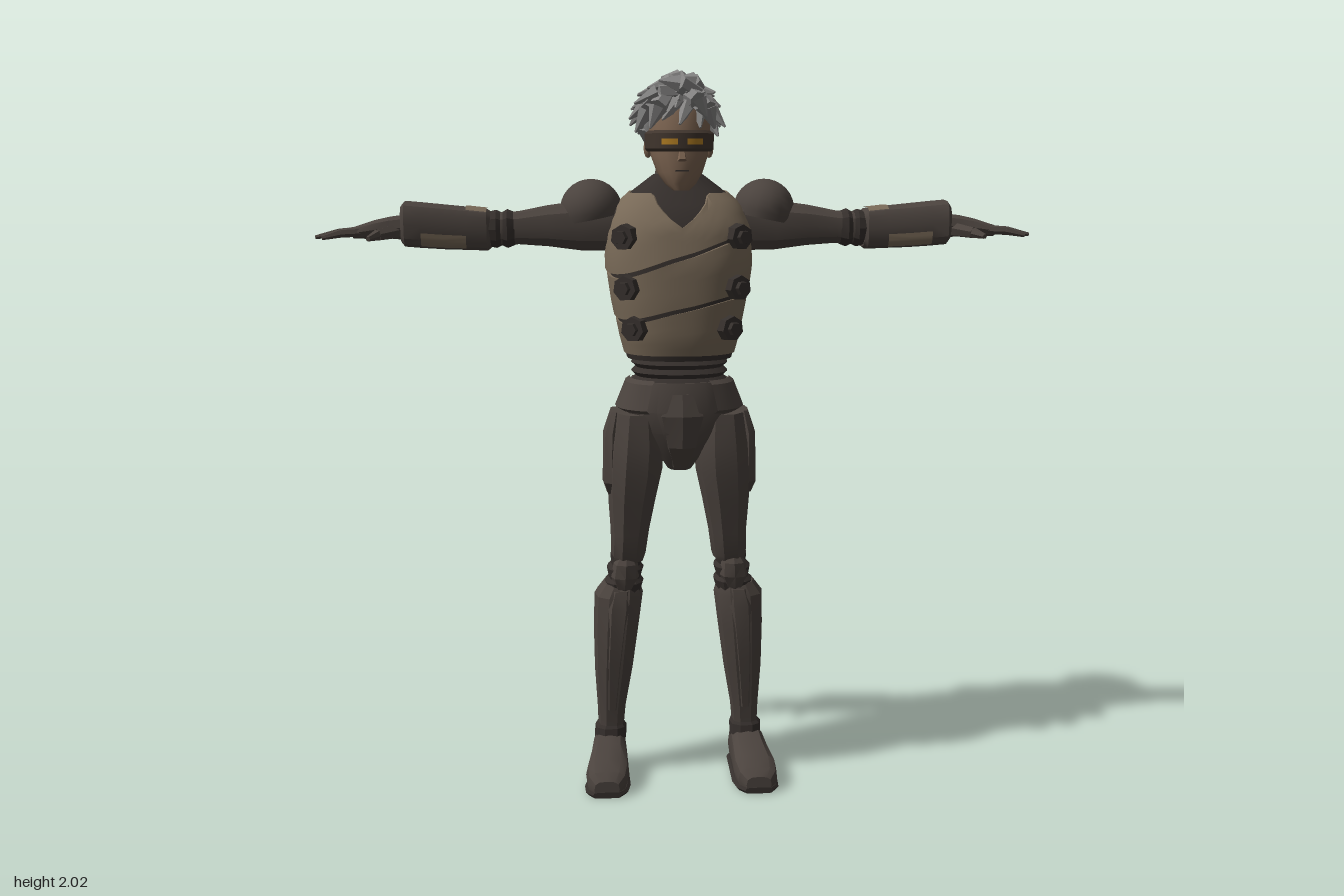
import * as THREE from 'three';
import { mergeGeometries, toCreasedNormals } from 'three/addons/utils/BufferGeometryUtils.js';

const paint = (name, color, side = THREE.FrontSide) => {
  const m = new THREE.MeshStandardMaterial({ color, side });
  m.name = name;
  return m;
};
const V = (x, y, z) => new THREE.Vector3(x, y, z);

// Surface through a grid of points fn(row, column), skipping collapsed triangles
function grid(rows, cols, fn) {
  const pos = [];
  const tri = (a, b, c) => {
    const area = b.clone().sub(a).cross(c.clone().sub(a)).length();
    if (area > 1e-9) pos.push(...a, ...b, ...c);
  };
  for (let r = 0; r < rows; r++) for (let c = 0; c < cols; c++) {
    const a = fn(r, c), b = fn(r + 1, c), d = fn(r, c + 1), e = fn(r + 1, c + 1);
    tri(a, b, d);
    tri(b, e, d);
  }
  const g = new THREE.BufferGeometry();
  g.setAttribute('position', new THREE.Float32BufferAttribute(pos, 3));
  return g;
}

// Rings along an axis: [t, centre1, centre2, radius1, radius2]; an arc leaves it open
function loft(axis, rings, n = 12, p = 0.8, arc = null) {
  const first = rings[0], last = rings[rings.length - 1];
  const all = arc ? rings : [[...first.slice(0, 3), 0, 0], ...rings, [...last.slice(0, 3), 0, 0]];
  const [a0, a1] = arc || [0, Math.PI * 2];
  const pw = (v) => Math.sign(v) * Math.abs(v) ** p;
  return grid(all.length - 1, n, (r, i) => {
    const [t, a, b, ra, rb] = all[r], th = a0 + (a1 - a0) * (!arc && i === n ? 0 : i / n);
    const c = pw(Math.cos(th)), s = pw(Math.sin(th));
    if (axis === 'y') return V(a + ra * c, t, b + rb * s);
    if (axis === 'x') return V(t, a + ra * s, b + rb * c);
    return V(a + ra * s, Math.max(0, b + rb * c), t);
  });
}

function taper(a, b, r0, r1, n = 6, flat = 1) {
  const d = b.clone().sub(a), h = d.length();
  return new THREE.CylinderGeometry(r1, r0, h, n).translate(0, h / 2, 0).scale(1, 1, flat)
    .applyQuaternion(new THREE.Quaternion().setFromUnitVectors(V(0, 1, 0), d.normalize()))
    .translate(a.x, a.y, a.z);
}

function clean(g) {
  g = g.index ? g.toNonIndexed() : g;
  g.deleteAttribute('uv');
  g.deleteAttribute('normal');
  return g;
}
const join = (list) => mergeGeometries(list.map(clean));

function mirror(g) {
  const m = clean(g.clone()).scale(-1, 1, 1), a = m.attributes.position;
  for (let i = 0; i < a.count; i += 3) {
    const p = V().fromBufferAttribute(a, i + 1), q = V().fromBufferAttribute(a, i + 2);
    a.setXYZ(i + 1, q.x, q.y, q.z);
    a.setXYZ(i + 2, p.x, p.y, p.z);
  }
  return m;
}

// Trunk outline: y, centre z, half width, half depth
const TRUNK = [[1.24, 0.005, 0.15, 0.122], [1.3, 0.005, 0.166, 0.137], [1.4, 0.002, 0.186, 0.147],
  [1.5, -0.005, 0.2, 0.155], [1.6, -0.018, 0.194, 0.15], [1.66, -0.03, 0.168, 0.125],
  [1.7, -0.038, 0.125, 0.09], [1.74, -0.04, 0.07, 0.06]];
function trunkPoint(th, y, k = 1) {
  let i = 0;
  while (i < TRUNK.length - 2 && y > TRUNK[i + 1][0]) i++;
  const A = TRUNK[i], B = TRUNK[i + 1], f = (y - A[0]) / (B[0] - A[0]);
  const [cz, rx, rz] = [1, 2, 3].map((j) => A[j] + (B[j] - A[j]) * f);
  const c = Math.cos(th), s = Math.sin(th);
  return V(k * rx * Math.sign(c) * Math.abs(c) ** 0.85, y, cz + k * rz * Math.sign(s) * Math.abs(s) ** 0.85);
}
// Armour band around the trunk with its edges turned in
function band(lo, hi, k = 1, a0 = 0, a1 = Math.PI * 2, n = 56) {
  const rows = 8;
  return grid(rows, n, (r, i) => {
    const th = a0 + (a1 - a0) * i / n, f = Math.min(Math.max((r - 1) / (rows - 2), 0), 1);
    return trunkPoint(th, lo(th) + (hi(th) - lo(th)) * f, r === 0 || r === rows ? k - 0.045 : k);
  });
}

export function createModel() {
  const suit = paint('charcoal suit', 0x4b433e), dark = paint('dark joints', 0x352f2c);
  const tan = paint('tan armour', 0x786957, THREE.DoubleSide), skin = paint('skin', 0x7b6350);
  const hairGrey = paint('grey hair', 0x868584), gold = paint('gold lights', 0xb07c22, THREE.DoubleSide);
  const visorMat = paint('brown visor', 0x40352d, THREE.DoubleSide);
  const root = new THREE.Group();
  root.name = 'armouredFigure';
  const add = (name, geo, mat, crease = 0.6) => {
    const m = new THREE.Mesh(toCreasedNormals(clean(geo), crease), mat);
    m.name = name;
    root.add(m);
  };
  const pair = (name, geo, mat, crease) => {
    add('left' + name, geo, mat, crease);
    add('right' + name, mirror(geo), mat, crease);
  };

  // Trunk with three slanted vest bands
  add('undersuit', loft('y', TRUNK.map(([y, z, rx, rz]) => [y, 0, z, rx * 0.97, rz * 0.97]), 32, 0.85), dark);
  const seam = (y, k) => (th) => y + k * 0.19 * Math.cos(th) * (0.5 + 0.5 * Math.sin(th));
  const lower = seam(1.375, 0.28), upper = seam(1.515, 0.42);
  const above = (f) => (th) => f(th) + 0.012;
  const neckline = (th) => Math.sin(th) > 0 ? Math.min(1.69, 1.6 + 0.19 * Math.abs(Math.cos(th))) : 1.695;
  add('lowerVest', band(() => 1.255, lower, 1), tan);
  add('middleVest', band(above(lower), upper, 1.015), tan);
  add('upperVest', band(above(upper), neckline, 1.03), tan);
  const back = Math.PI * 1.5;
  add('backPanel', band(() => 1.585, () => 1.635, 1.05, back - 0.42, back + 0.42, 12), dark);
  add('backLight', band(() => 1.6, () => 1.62, 1.075, back - 0.16, back + 0.16, 6), gold);
  for (const [y, x, z] of [[1.575, 0.15, 0.1], [1.44, 0.145, 0.112], [1.33, 0.125, 0.112]]) {
    const dir = V(0.5, 0, 0.86), base = V(x, y, z);
    pair('VestClasp', join([taper(base.clone().addScaledVector(dir, -0.03), base.clone().addScaledVector(dir, 0.025), 0.038, 0.034, 7),
      taper(base, base.clone().addScaledVector(dir, 0.038), 0.022, 0.018, 6)]), dark, 0.3);
  }

  // Ribbed waist, belt and pelvis
  const ribs = [];
  for (let i = 0; i <= 8; i++) ribs.push([1.165 + i * 0.0125, 0, 0.008, i % 2 ? 0.135 : 0.122, i % 2 ? 0.112 : 0.1]);
  add('ribbedWaist', loft('y', ribs, 24, 0.9), dark, 0.3);
  add('pelvis', loft('y', [[0.925, 0, 0, 0.035, 0.06], [0.97, 0, 0, 0.065, 0.105], [1.04, 0, 0.002, 0.12, 0.132],
    [1.1, 0, 0.005, 0.16, 0.135], [1.18, 0, 0.008, 0.138, 0.115]], 16, 0.85), suit);
  const beltRings = [[1.095, 0, 0.004, 0.165, 0.132], [1.105, 0, 0.004, 0.18, 0.143], [1.175, 0, 0.008, 0.152, 0.125], [1.185, 0, 0.008, 0.138, 0.113]];
  pair('BeltPlate', loft('y', beltRings, 12, 0.85, [-Math.PI * 0.48, Math.PI * 0.34]), suit, 0.4);
  add('groinPlate', loft('y', [[0.935, 0, 0.05, 0.025, 0.03], [1.0, 0, 0.08, 0.048, 0.052], [1.09, 0, 0.09, 0.075, 0.058], [1.15, 0, 0.09, 0.06, 0.042]], 8, 0.8), suit, 0.4);
  pair('Buttock', new THREE.SphereGeometry(1, 12, 8).scale(0.078, 0.085, 0.075).translate(0.075, 1.03, -0.068), suit);

  // Legs
  pair('Thigh', loft('y', [[0.655, 0.145, -0.015, 0.045, 0.065], [0.67, 0.145, -0.015, 0.05, 0.075], [0.74, 0.14, -0.01, 0.055, 0.085],
    [0.83, 0.134, -0.003, 0.067, 0.1], [0.92, 0.125, 0, 0.078, 0.116], [1.0, 0.12, 0, 0.077, 0.124], [1.09, 0.118, 0, 0.064, 0.115]], 10), suit, 0.5);
  pair('HipGuard', loft('y', [[0.855, 0.187, 0.005, 0.018, 0.035], [0.89, 0.193, 0.005, 0.024, 0.06], [1.03, 0.19, 0, 0.024, 0.07], [1.09, 0.178, 0, 0.016, 0.05]], 8, 0.6), suit, 0.4);
  pair('KneeJoint', loft('y', [[0.56, 0.158, -0.018, 0.048, 0.058], [0.59, 0.157, -0.018, 0.056, 0.066], [0.6, 0.156, -0.017, 0.046, 0.058],
    [0.63, 0.154, -0.016, 0.053, 0.064], [0.64, 0.152, -0.016, 0.043, 0.056], [0.67, 0.15, -0.015, 0.046, 0.062]], 12), dark, 0.4);
  pair('KneePad', loft('y', [[0.575, 0.158, 0.02, 0.025, 0.028], [0.61, 0.156, 0.025, 0.04, 0.038], [0.65, 0.154, 0.025, 0.035, 0.038], [0.675, 0.152, 0.025, 0.02, 0.025]], 8), suit, 0.4);
  pair('Shin', loft('y', [[0.135, 0.198, -0.04, 0.037, 0.04], [0.2, 0.196, -0.038, 0.041, 0.045], [0.32, 0.189, -0.03, 0.055, 0.06],
    [0.45, 0.181, -0.028, 0.065, 0.077], [0.55, 0.173, -0.025, 0.07, 0.078], [0.585, 0.165, -0.02, 0.052, 0.06]], 10, 0.75), suit, 0.4);
  pair('ShinPlate', loft('y', [[0.2, 0.195, 0, 0.015, 0.012], [0.35, 0.188, 0.02, 0.026, 0.018], [0.52, 0.175, 0.042, 0.036, 0.018], [0.57, 0.168, 0.035, 0.028, 0.014]], 6), suit, 0.4);
  pair('AnkleCuff', loft('y', [[0.1, 0.2, -0.038, 0.046, 0.05], [0.14, 0.199, -0.04, 0.046, 0.047], [0.15, 0.198, -0.04, 0.038, 0.04]], 10), dark, 0.4);
  const foot = [[-0.103, 0.2, 0.045, 0.03, 0.04], [-0.08, 0.2, 0.055, 0.046, 0.055], [-0.02, 0.203, 0.066, 0.05, 0.066],
    [0.04, 0.207, 0.055, 0.055, 0.056], [0.1, 0.213, 0.044, 0.062, 0.045], [0.145, 0.216, 0.034, 0.056, 0.036], [0.168, 0.217, 0.025, 0.036, 0.025]];
  pair('Boot', loft('z', foot, 12, 0.7), suit, 0.5);
  pair('BootSole', loft('z', foot.map(([z, x, , rx]) => [z * 1.01, x, 0.009, rx + 0.004, 0.009]), 8, 0.4), dark, 0.4);

  // Arms
  pair('UpperArm', loft('x', [[0.15, 1.6, -0.04, 0.07, 0.075], [0.27, 1.6, -0.04, 0.068, 0.075], [0.36, 1.6, -0.035, 0.056, 0.064],
    [0.44, 1.595, -0.032, 0.045, 0.05], [0.5, 1.592, -0.03, 0.046, 0.05]], 12), suit, 0.5);
  pair('Elbow', loft('x', [[0.45, 1.593, -0.032, 0.045, 0.05], [0.47, 1.593, -0.032, 0.053, 0.058], [0.485, 1.592, -0.032, 0.045, 0.05],
    [0.5, 1.592, -0.032, 0.052, 0.057], [0.53, 1.592, -0.03, 0.045, 0.05]], 12), dark, 0.4);
  pair('ShoulderPad', new THREE.SphereGeometry(1, 16, 9, 0, Math.PI * 2, 0, 1.85).scale(0.086, 0.085, 0.102)
    .rotateZ(-0.2).translate(0.24, 1.642, -0.042), paint('shoulder shell', 0x4b433e, THREE.DoubleSide));
  const forearm = [[0.515, 1.59, -0.032, 0.05, 0.05], [0.525, 1.59, -0.032, 0.057, 0.058], [0.58, 1.594, -0.032, 0.059, 0.062],
    [0.64, 1.598, -0.031, 0.061, 0.066], [0.7, 1.603, -0.03, 0.062, 0.071], [0.745, 1.607, -0.03, 0.062, 0.075], [0.755, 1.607, -0.03, 0.05, 0.062]];
  pair('ForearmGuard', loft('x', forearm, 16, 0.55), suit, 0.5);
  const patch = (from, to, arc) => loft('x', forearm.slice(from, to).map(([x, y, z, ry, rz]) => [x, y, z, ry + 0.003, rz + 0.003]), 6, 0.55, arc);
  pair('ForearmTopPatch', patch(1, 3, [0.8, 2.0]), tan);
  pair('ForearmFrontPatch', patch(2, 5, [-0.8, -0.1]), tan);
  pair('ForearmBackPatch', patch(3, 5, [2.7, 3.5]), tan);

  // Hands
  const fingers = [[-0.058, -0.085, 0.945], [-0.038, -0.048, 0.972], [-0.017, -0.015, 0.988], [0.004, 0.025, 0.965]];
  const handParts = [loft('x', [[0.74, 1.598, -0.03, 0.036, 0.04], [0.79, 1.597, -0.028, 0.03, 0.036], [0.83, 1.592, -0.027, 0.026, 0.044], [0.885, 1.584, -0.027, 0.016, 0.044]], 10)];
  for (const [z0, z1, x1] of fingers) {
    const a = V(0.865, 1.586, z0), b = V(0.865 + (x1 - 0.865) * 0.5, 1.584, (z0 + z1) / 2), c = V(x1, 1.572, z1);
    handParts.push(taper(a, b, 0.0125, 0.012), taper(b, c, 0.012, 0.006));
  }
  handParts.push(taper(V(0.77, 1.588, -0.01), V(0.815, 1.58, 0.04), 0.021, 0.016), taper(V(0.815, 1.58, 0.04), V(0.835, 1.572, 0.083), 0.015, 0.007));
  pair('Hand', join(handParts), suit, 0.5);

  // Neck, head and visor
  add('collar', loft('y', [[1.64, 0, -0.035, 0.125, 0.105], [1.69, 0, -0.035, 0.088, 0.08], [1.73, 0, -0.038, 0.066, 0.066], [1.765, 0, -0.03, 0.06, 0.06]], 14, 1), suit);
  add('head', loft('y', [[1.698, 0, 0.075, 0.022, 0.024], [1.715, 0, 0.055, 0.042, 0.05], [1.745, 0, 0.03, 0.062, 0.08], [1.79, 0, 0.012, 0.078, 0.1],
    [1.84, 0, 0, 0.084, 0.108], [1.9, 0, -0.008, 0.086, 0.108], [1.95, 0, -0.015, 0.07, 0.09], [1.975, 0, -0.015, 0.035, 0.045]], 18, 0.95), skin, 0.9);
  add('nose', taper(V(0, 1.825, 0.1), V(0, 1.777, 0.117), 0.006, 0.013, 5), skin);
  add('mouth', new THREE.BoxGeometry(0.036, 0.004, 0.008).translate(0, 1.75, 0.109), dark);
  pair('Ear', new THREE.SphereGeometry(1, 8, 6).scale(0.012, 0.027, 0.018).translate(0.084, 1.81, -0.015), skin);
  const ring = (y, d) => [y, 0, 0, 0.092 + d, 0.128 + d];
  add('visor', loft('y', [ring(1.8, -0.006), ring(1.808, 0.001), ring(1.848, 0.002), ring(1.856, -0.008)], 20, 0.85, [-0.15, Math.PI + 0.15]), visorMat);
  pair('VisorLight', loft('y', [ring(1.818, 0.004), ring(1.834, 0.004)], 6, 0.85, [1.02, 1.48]), gold);

  // Hair: a cap covered in overlapping swept locks
  add('hairCap', loft('y', [[1.765, 0, -0.06, 0.05, 0.045], [1.81, 0, -0.048, 0.08, 0.08], [1.87, -0.003, -0.028, 0.093, 0.102],
    [1.93, -0.005, -0.015, 0.094, 0.108], [1.965, -0.005, -0.012, 0.075, 0.085], [1.985, -0.005, -0.012, 0.035, 0.04]], 16, 0.95), hairGrey, 0.4);
  let seed = 7;
  const rand = () => (seed = (seed * 16807) % 2147483647) / 2147483647;
  const locks = [];
  for (let row = 0; row < 5; row++) for (let i = 0; i < 15; i++) {
    const th = ((i + row * 0.5) / 15) * Math.PI * 2, el = 1.15 - row * 0.36;
    const n = V(Math.cos(el) * Math.cos(th), Math.sin(el), Math.cos(el) * Math.sin(th));
    const p = V(n.x * 0.09 - 0.004, 1.892 + n.y * 0.085, n.z * 0.104 - 0.018);
    if (p.z > 0 && p.y < 1.915) continue;
    if (p.z > -0.03 && p.y < 1.87) continue;
    const down = V(-n.x * n.y, 1 - n.y * n.y, -n.z * n.y).normalize().negate();
    const dir = down.addScaledVector(V(-n.z, 0, n.x), 0.35 + rand() * 0.4).addScaledVector(n, 0.12 + rand() * 0.15).normalize();
    locks.push(taper(p, p.clone().addScaledVector(dir, 0.06 + rand() * 0.03), 0.026, 0.003, 5));
  }
  // Quiff swept to the right, with fringe strands
  const sweep = [[0.05, 1.945, 0.06, -0.06, 1.985, 0.085], [0.03, 1.965, 0.03, -0.09, 1.965, 0.08], [0.0, 1.955, 0.06, -0.125, 1.925, 0.075],
    [-0.03, 1.955, 0.05, -0.138, 1.885, 0.06], [-0.06, 1.94, 0.05, -0.122, 1.85, 0.07], [-0.04, 1.945, 0.07, -0.085, 1.86, 0.105],
    [0.04, 1.965, -0.02, -0.05, 1.995, 0.03], [0.05, 1.94, 0.06, 0.09, 1.86, 0.08], [0.02, 1.95, 0.07, 0.065, 1.89, 0.108], [0.06, 1.95, 0.0, 0.0, 1.995, 0.06]];
  for (const [a, b, c, d, e, f] of sweep) {
    const p = V(a, b, c), q = V(d, e, f), m = p.clone().lerp(q, 0.5).add(V(0, 0.012, 0.012));
    locks.push(taper(p, m, 0.024, 0.026, 6), taper(m, q, 0.026, 0.003, 6));
  }
  add('hairLocks', join(locks), hairGrey, 0.4);
  return root;
}
